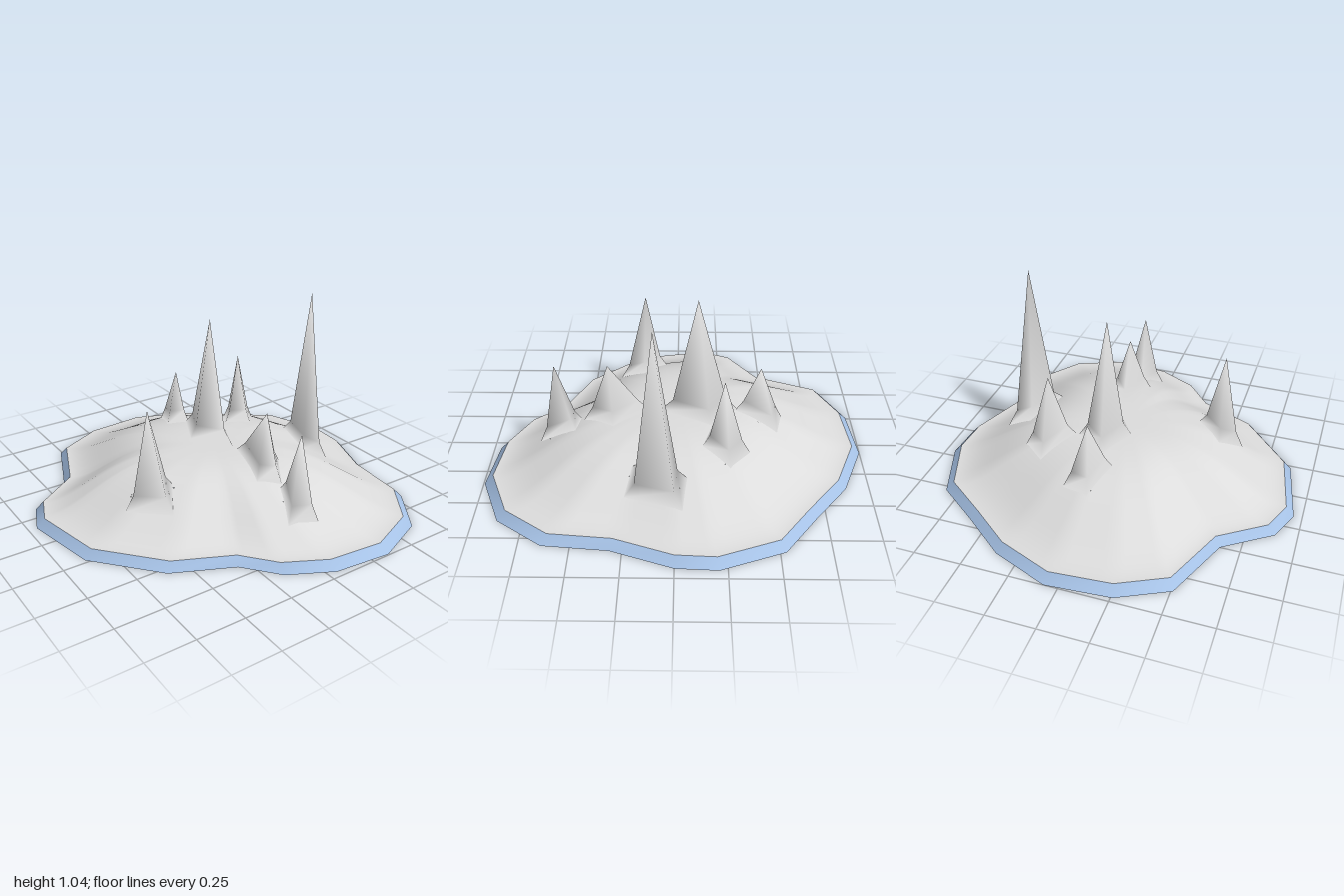
import * as THREE from 'three';

// Ground outline as [x, z], starting at the back and running towards +x
const OUTLINE = [
  [0.07, -1.0], [0.37, -0.88], [0.6, -0.7], [0.83, -0.53], [0.95, -0.21],
  [0.94, 0.0], [0.83, 0.31], [0.8, 0.64], [0.63, 0.88], [0.35, 0.995],
  [0.05, 0.965], [-0.17, 0.85], [-0.31, 0.68], [-0.61, 0.54], [-0.88, 0.23],
  [-0.957, -0.16], [-0.89, -0.33], [-0.65, -0.5], [-0.51, -0.85], [-0.26, -0.975],
];
const RIM = 0.955;

// Spikes: tip [x, y, z] and base corners (back, right, front, left) as [x, z]
const SPIKES = [
  { tip: [-0.49, 0.66, 0.18], base: [[-0.5, 0.08], [-0.38, 0.19], [-0.45, 0.31], [-0.6, 0.16]] },
  { tip: [0.06, 0.93, -0.11], base: [[0.04, -0.3], [0.18, -0.18], [0.07, 0.06], [-0.05, -0.11]] },
  { tip: [0.09, 0.565, 0.355], base: [[0.07, 0.16], [0.18, 0.33], [0.09, 0.47], [0.0, 0.41]] },
  { tip: [0.565, 1.04, 0.1], base: [[0.54, -0.04], [0.67, -0.02], [0.59, 0.23], [0.47, 0.2]] },
  { tip: [0.335, 0.63, -0.24], base: [[0.34, -0.36], [0.45, -0.27], [0.35, -0.15], [0.23, -0.19]] },
  { tip: [0.05, 0.53, -0.44], base: [[0.02, -0.55], [0.14, -0.52], [0.05, -0.33], [-0.04, -0.38]] },
  { tip: [0.085, 0.56, 0.63], base: [[0.07, 0.52], [0.16, 0.54], [0.13, 0.71], [0.0, 0.67]] },
];

const cross = (a, b) => a[0] * b[1] - a[1] * b[0];
const sub = (a, b) => [a[0] - b[0], a[1] - b[1]];

// Mound height at a fraction t of the way from centre to outline
function profile(t) {
  const u = Math.min(t / RIM, 1);
  return 0.045 + 0.235 * (0.5 + 0.5 * Math.cos(Math.PI * u ** 1.8));
}

function groundHeight(v) {
  for (let i = 0; i < OUTLINE.length; i++) {
    const p = OUTLINE[i], q = OUTLINE[(i + 1) % OUTLINE.length];
    if (cross(p, v) >= 0 && cross(v, q) >= 0) {
      const e = sub(q, p);
      return profile(cross(v, e) / cross(p, e));
    }
  }
  return profile(0);
}

// Corners of a spike's base scaled about its own middle
function scaledBase(base, s) {
  const c = [0, 1].map((k) => base.reduce((sum, p) => sum + p[k] / 4, 0));
  return base.map((p) => [c[0] + (p[0] - c[0]) * s, c[1] + (p[1] - c[1]) * s]);
}

// Skin closed rings of equal length, lowest first; keep() can leave out triangles
function loft(rings, keep = () => true) {
  const n = rings[0].length, points = rings.flat(), index = [];
  const add = (...tri) => {
    const mid = [0, 2].map((k) => tri.reduce((s, i) => s + points[i][k] / 3, 0));
    if (keep(mid)) index.push(...tri);
  };
  for (let r = 0; r < rings.length - 1; r++) {
    for (let i = 0; i < n; i++) {
      const a = r * n + i, b = r * n + ((i + 1) % n);
      add(b, a, a + n);
      add(b, a + n, b + n);
    }
  }
  const geo = new THREE.BufferGeometry();
  geo.setAttribute('position', new THREE.Float32BufferAttribute(points.flat(), 3));
  geo.setIndex(index);
  geo.computeVertexNormals();
  return geo;
}

// Four-sided spike with a flared skirt that melts into the ground
function spikeGeometry({ tip, base }) {
  const foot = scaledBase(base, 1.15).map((p) => [p[0], groundHeight(p), p[1]]);
  const neck = scaledBase(base, 0.78).map((p) => [p[0], groundHeight(p) + 0.065, p[1]]);
  const geo = loft([foot, neck]);
  const points = [...foot, ...neck, tip].flat();
  const index = [...geo.index.array];
  for (let i = 0; i < 4; i++) index.push(4 + ((i + 1) % 4), 4 + i, 8);
  geo.setAttribute('position', new THREE.Float32BufferAttribute(points, 3));
  geo.deleteAttribute('normal');
  geo.setIndex(index);
  geo.computeVertexNormals();
  for (let i = 0; i < 4; i++) geo.attributes.normal.setXYZ(i, 0, 1, 0);
  return geo;
}

export function createModel() {
  const model = new THREE.Group();
  const stone = new THREE.MeshStandardMaterial({ name: 'paleGrey', color: 0xdcdcdc, side: THREE.DoubleSide });
  const ice = new THREE.MeshStandardMaterial({ name: 'lightBlue', color: 0xa6c2e6, side: THREE.DoubleSide });
  const add = (name, geo, mat) => {
    const mesh = new THREE.Mesh(geo, mat);
    mesh.name = name;
    model.add(mesh);
  };

  // Sloping rim round the foot of the mound
  const ring = (pts, t, y) => pts.map(([x, z]) => [x * t, y, z * t]);
  add('rim', loft([ring(OUTLINE, 1, 0), ring(OUTLINE, RIM, 0.045)]), ice);

  // Mound shell, open below and cut away inside each hollow spike
  const fine = OUTLINE.flatMap((p, i) => {
    const q = OUTLINE[(i + 1) % OUTLINE.length];
    return [0, 0.2, 0.4, 0.6, 0.8].map((s) => [p[0] + (q[0] - p[0]) * s, p[1] + (q[1] - p[1]) * s]);
  });
  const rings = [];
  for (let k = 0; k <= 80; k++) {
    const t = RIM * (1 - k / 80) + 0.0005 * (k / 80);
    rings.push(ring(fine, t, profile(t)));
  }
  const holes = SPIKES.map((s) => scaledBase(s.base, 0.95));
  const inside = (v, quad) => quad.every((p, i) => cross(sub(quad[(i + 1) % 4], p), sub(v, p)) > 0);
  add('mound', loft(rings, (v) => !holes.some((h) => inside(v, h))), stone);

  SPIKES.forEach((s, i) => add(`spike${i + 1}`, spikeGeometry(s), stone));
  return model;
}
